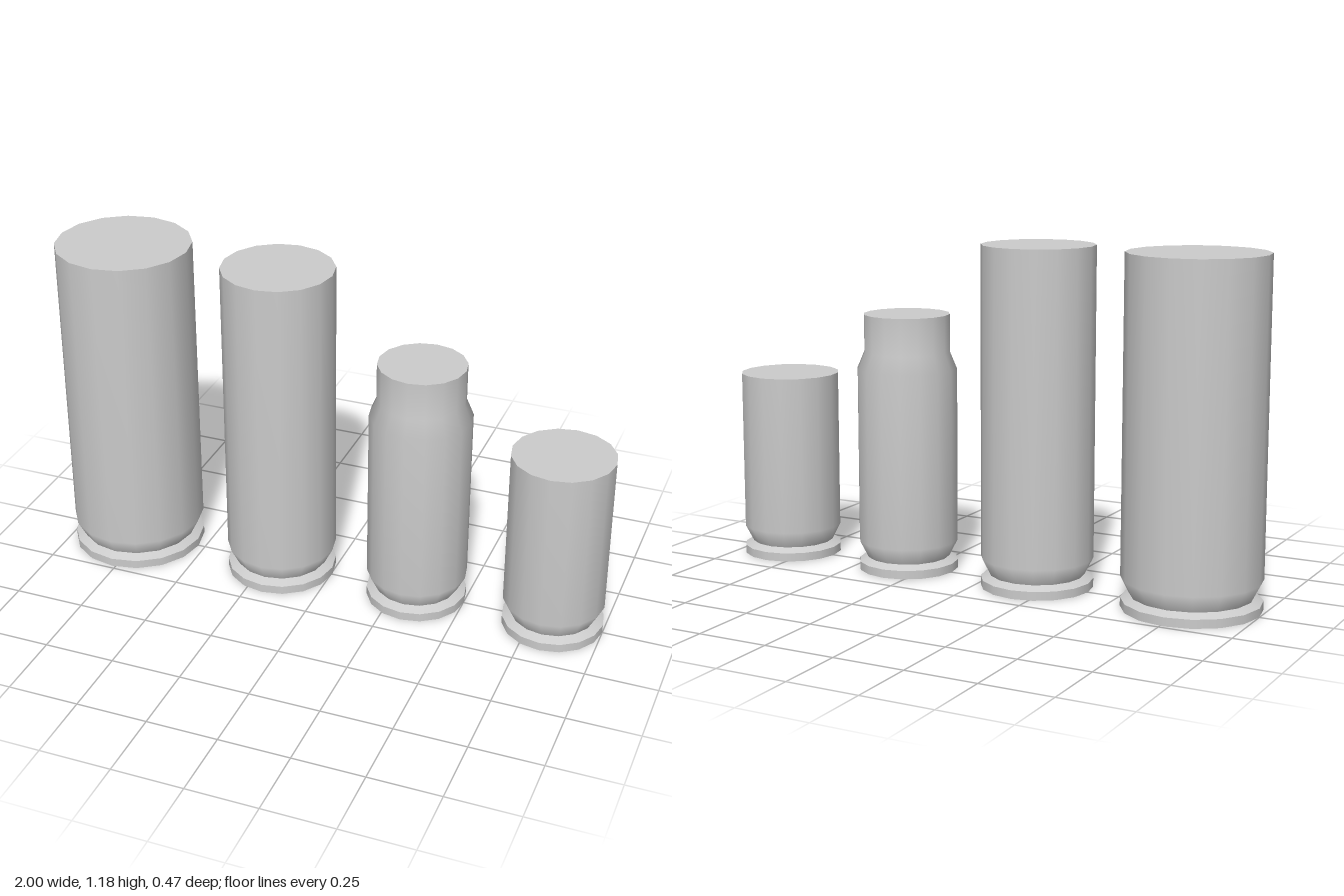
import * as THREE from 'three';

const SIDES = 16;
const material = new THREE.MeshStandardMaterial({ color: 0xcccccc });

// One smooth surface of revolution, profile given as [radius, height] pairs
function turned(name, profile) {
  const points = profile.map(([r, y]) => new THREE.Vector2(r, y));
  const mesh = new THREE.Mesh(new THREE.LatheGeometry(points, SIDES), material);
  mesh.name = name;
  return mesh;
}

// A cartridge case; neck is an optional list of [radius, height] above the body
function createCase(name, x, r, bodyTop, neck = []) {
  const group = new THREE.Group();
  group.name = name;
  const grooveR = r - 0.03;
  const wall = [[grooveR, 0.045], [r, 0.104], [r, bodyTop], ...neck];
  const [mouthR, mouthY] = wall[wall.length - 1];
  const innerR = mouthR - 0.014;
  group.add(
    turned('base', [[0, 0], [r, 0]]),
    turned('rim', [[r, 0], [r, 0.03]]),
    turned('rimBevel', [[r, 0.03], [grooveR, 0.045]]),
    turned('body', wall),
    turned('mouthEdge', [[mouthR, mouthY], [innerR, mouthY]]),
    turned('mouthCap', [[innerR, mouthY], [0, mouthY]]),
  );
  group.position.x = x;
  return group;
}

export function createModel() {
  const model = new THREE.Group();
  model.name = 'cartridgeCases';
  model.add(
    createCase('wideTallCase', -0.763, 0.237, 1.18),
    createCase('slimTallCase', -0.19, 0.195, 1.18),
    createCase('neckedCase', 0.325, 0.177, 0.722, [[0.152, 0.782], [0.152, 0.915]]),
    createCase('shortCase', 0.823, 0.177, 0.67),
  );
  return model;
}
